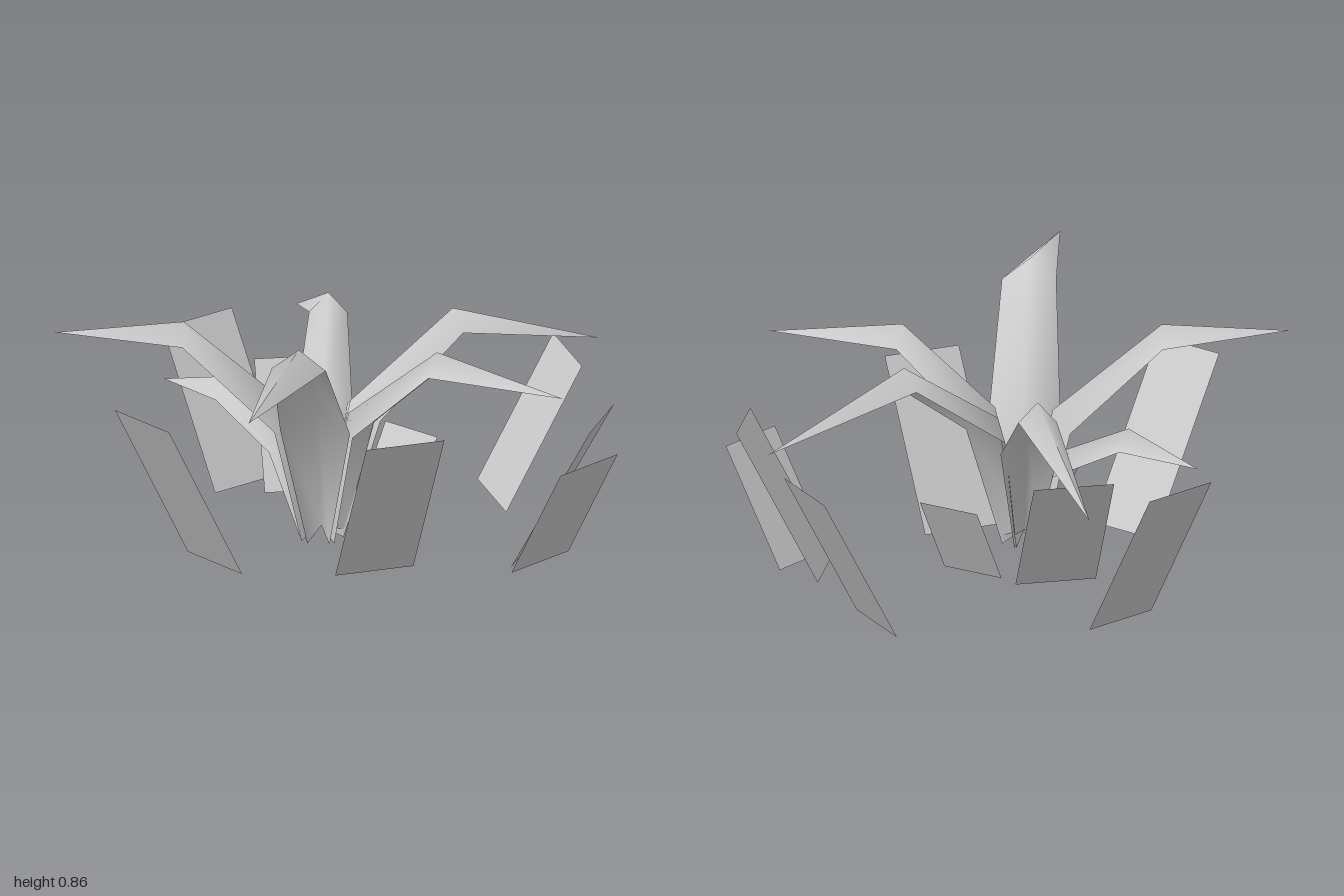
import * as THREE from 'three';

const material = new THREE.MeshStandardMaterial({ color: 0xcccccc, side: THREE.DoubleSide });

function surface(name, positions, index) {
  const geometry = new THREE.BufferGeometry();
  geometry.setAttribute('position', new THREE.Float32BufferAttribute(positions, 3));
  geometry.setIndex(index);
  geometry.computeVertexNormals();
  const mesh = new THREE.Mesh(geometry, material);
  mesh.name = name;
  return mesh;
}

// Arching leaf: a ridged strip of three columns (edge, ridge, edge) along four stations
const ROOT = [-0.05, 0.11, 0.04];
function leaf({ mid, midHalf, bend, bendHalf, tip }) {
  const dx = bend[0] - ROOT[0], dz = bend[2] - ROOT[2], length = Math.hypot(dx, dz);
  const ox = dx / length, oz = dz / length;
  // ridge point, half width, outward shift and drop of the edges
  const stations = [
    [ROOT, 0.035, 0.06, 0.04],
    [mid, midHalf, 0.05, 0.05],
    [bend, bendHalf, 0, 0.065],
    [tip, 0, 0, 0],
  ];
  const positions = [], index = [];
  stations.forEach(([p, half, out, drop], i) => {
    for (const s of [-1, 0, 1]) {
      const e = Math.abs(s);
      positions.push(
        p[0] + s * half * oz + e * out * ox,
        p[1] - e * drop,
        p[2] - s * half * ox + e * out * oz);
    }
    if (i === 3) return;
    for (let c = 0; c < 2; c++) {
      const a = i * 3 + c;
      index.push(a, a + 3, a + 1);
      if (i < 2) index.push(a + 1, a + 3, a + 4);
    }
  });
  // the last row meets in one point, so both halves close with one triangle each
  return surface('leaf', positions, index);
}

// Flat leaning card: bottom edge a-b at height low, top edge shifted by lean at height high
function card({ a, b, lean, low, high }) {
  const [lx, lz] = lean;
  return surface('grassCard', [
    a[0], low, a[1], b[0], low, b[1],
    b[0] + lx, high, b[1] + lz, a[0] + lx, high, a[1] + lz,
  ], [0, 1, 2, 0, 2, 3]);
}

export function createModel() {
  const model = new THREE.Group();
  model.name = 'plant';

  const leaves = new THREE.Group();
  leaves.name = 'leaves';
  [
    { mid: [-0.065, 0.47, -0.11], midHalf: 0.09, bend: [-0.1, 0.69, -0.49], bendHalf: 0.06, tip: [-0.27, 0.46, -1] },
    { mid: [0.03, 0.5, -0.04], midHalf: 0.095, bend: [0.32, 0.735, -0.28], bendHalf: 0.06, tip: [0.74, 0.545, -0.59] },
    { mid: [0.04, 0.5, 0.07], midHalf: 0.08, bend: [0.33, 0.745, 0.155], bendHalf: 0.065, tip: [0.75, 0.67, 0.32] },
    { mid: [-0.05, 0.52, 0.13], midHalf: 0.11, bend: [-0.06, 0.855, 0.49], bendHalf: 0.085, tip: [-0.15, 0.79, 1] },
    { mid: [-0.14, 0.5, 0.045], midHalf: 0.095, bend: [-0.48, 0.775, 0.065], bendHalf: 0.06, tip: [-0.88, 0.74, 0.12] },
    { mid: [-0.14, 0.38, -0.03], midHalf: 0.07, bend: [-0.38, 0.51, -0.18], bendHalf: 0.05, tip: [-0.6, 0.43, -0.35] },
  ].forEach((spec) => leaves.add(leaf(spec)));

  const cards = new THREE.Group();
  cards.name = 'grassCards';
  [
    { a: [-0.26, 0.335], b: [-0.455, 0.155], lean: [-0.2, 0.22], low: 0.045, high: 0.585 },
    { a: [0.26, 0.19], b: [0.03, 0.31], lean: [0.13, 0.24], low: 0.045, high: 0.555 },
    { a: [-0.455, -0.48], b: [-0.265, -0.69], lean: [-0.19, -0.18], low: 0.01, high: 0.485 },
    { a: [0.335, -0.745], b: [0.465, -0.455], lean: [0.225, -0.1], low: 0, high: 0.46 },
    { a: [0.59, -0.205], b: [0.55, 0.07], lean: [0.255, 0.037], low: 0.01, high: 0.485 },
    { a: [0.56, 0.13], b: [0.71, -0.09], lean: [0.17, 0.11], low: 0.015, high: 0.385 },
    { a: [-0.28, -0.34], b: [-0.03, -0.41], lean: [-0.06, -0.2], low: 0.07, high: 0.44 },
    { a: [0.015, -0.31], b: [0.195, -0.185], lean: [0.075, -0.105], low: 0.06, high: 0.3 },
  ].forEach((spec) => cards.add(card(spec)));

  model.add(leaves, cards);
  return model;
}
